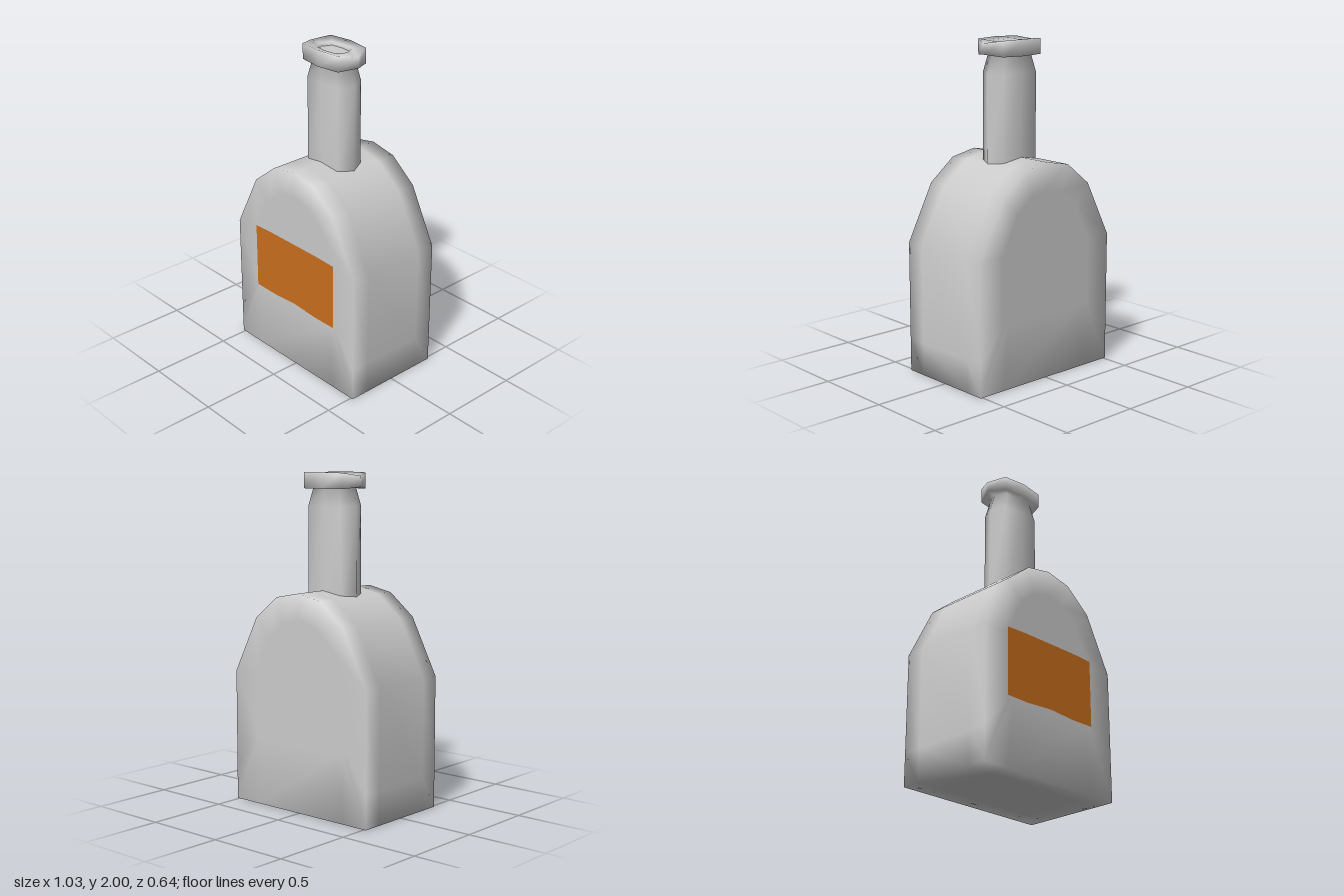
import * as THREE from 'three';

// Skin a stack of rings (equal point counts, counter-clockwise seen from the far end).
// Centre points given for the ends close them with fans.
function loft(rings, startCentre, endCentre) {
  const n = rings[0].length;
  const points = rings.flat();
  const index = [];
  for (let i = 0; i < rings.length - 1; i++) {
    for (let j = 0; j < n; j++) {
      const a = i * n + j, b = i * n + (j + 1) % n;
      index.push(a, b, b + n, a, b + n, a + n);
    }
  }
  const fan = (centre, base, flip) => {
    const c = points.push(centre) - 1;
    for (let j = 0; j < n; j++) {
      const a = base + j, b = base + (j + 1) % n;
      index.push(c, flip ? b : a, flip ? a : b);
    }
  };
  if (startCentre) fan(startCentre, 0, true);
  if (endCentre) fan(endCentre, (rings.length - 1) * n, false);
  const geometry = new THREE.BufferGeometry();
  geometry.setAttribute('position', new THREE.Float32BufferAttribute(points.flat(), 3));
  geometry.setIndex(index);
  geometry.computeVertexNormals();
  return geometry;
}

// Half outline from bottom to top, mirrored into a closed loop
function mirrored(half) {
  const left = half.filter(([x]) => x > 0).reverse().map(([x, y]) => [-x, y]);
  return [...half, ...left];
}

// Eight-sided oval ring; lift raises the front and back points
function oval(rx, rz, y, lift = 0) {
  const unit = [[1, 0], [0.74, -0.86], [0, -1], [-0.74, -0.86], [-1, 0], [-0.74, 0.86], [0, 1], [0.74, 0.86]];
  return unit.map(([x, z]) => [x * rx, y + lift * Math.abs(z), z * rz]);
}

export function createModel() {
  const group = new THREE.Group();
  const glass = new THREE.MeshStandardMaterial({ color: 0xcccccc });
  const orange = new THREE.MeshStandardMaterial({ color: 0xc96f1e });
  const add = (name, geometry, material) => {
    const mesh = new THREE.Mesh(geometry, material);
    mesh.name = name;
    group.add(mesh);
  };

  // Body: shouldered outline run front to back, with flat inset panels on both faces
  const outline = mirrored([[0.34, 0], [0.515, 0], [0.515, 0.2], [0.515, 0.8], [0.34, 1.14], [0.17, 1.275], [0, 1.308]]);
  const panel = mirrored([[0.3, 0.4], [0.34, 0.4], [0.345, 0.45], [0.345, 0.8], [0.23, 1.03], [0.12, 1.12], [0, 1.15]]);
  const at = (loop, z) => loop.map(([x, y]) => [x, y, z]);
  const depth = 0.32;
  add('body', loft([
    at(panel, -depth), at(outline, -depth), at(outline, -0.2),
    at(outline, 0.2), at(outline, depth), at(panel, depth),
  ], [0, 0.7, -depth], [0, 0.7, depth]), glass);

  // Neck with tapered top and flared lip
  add('neck', loft([
    oval(0.172, 0.106, 1.2),
    oval(0.172, 0.106, 1.8),
    oval(0.135, 0.085, 1.915),
    oval(0.2, 0.124, 1.915, -0.013),
    oval(0.2, 0.124, 1.98, 0.02),
    oval(0.11, 0.07, 1.985),
    oval(0.105, 0.066, 1.965),
  ]), glass);

  // Shallow floor inside the mouth
  add('mouth', loft([oval(0.106, 0.067, 1.965), oval(0.05, 0.03, 1.965)], null, [0, 1.965, 0]), glass);

  // Label on the front
  const label = new THREE.Shape([
    [-0.345, 0.42], [-0.19, 0.418], [0, 0.43], [0.19, 0.418], [0.345, 0.42],
    [0.345, 0.833], [0.2, 0.838], [-0.2, 0.838], [-0.345, 0.833],
  ].map(([x, y]) => new THREE.Vector2(x, y)));
  add('label', new THREE.ShapeGeometry(label).translate(0, 0, depth + 0.004), orange);

  return group;
}
